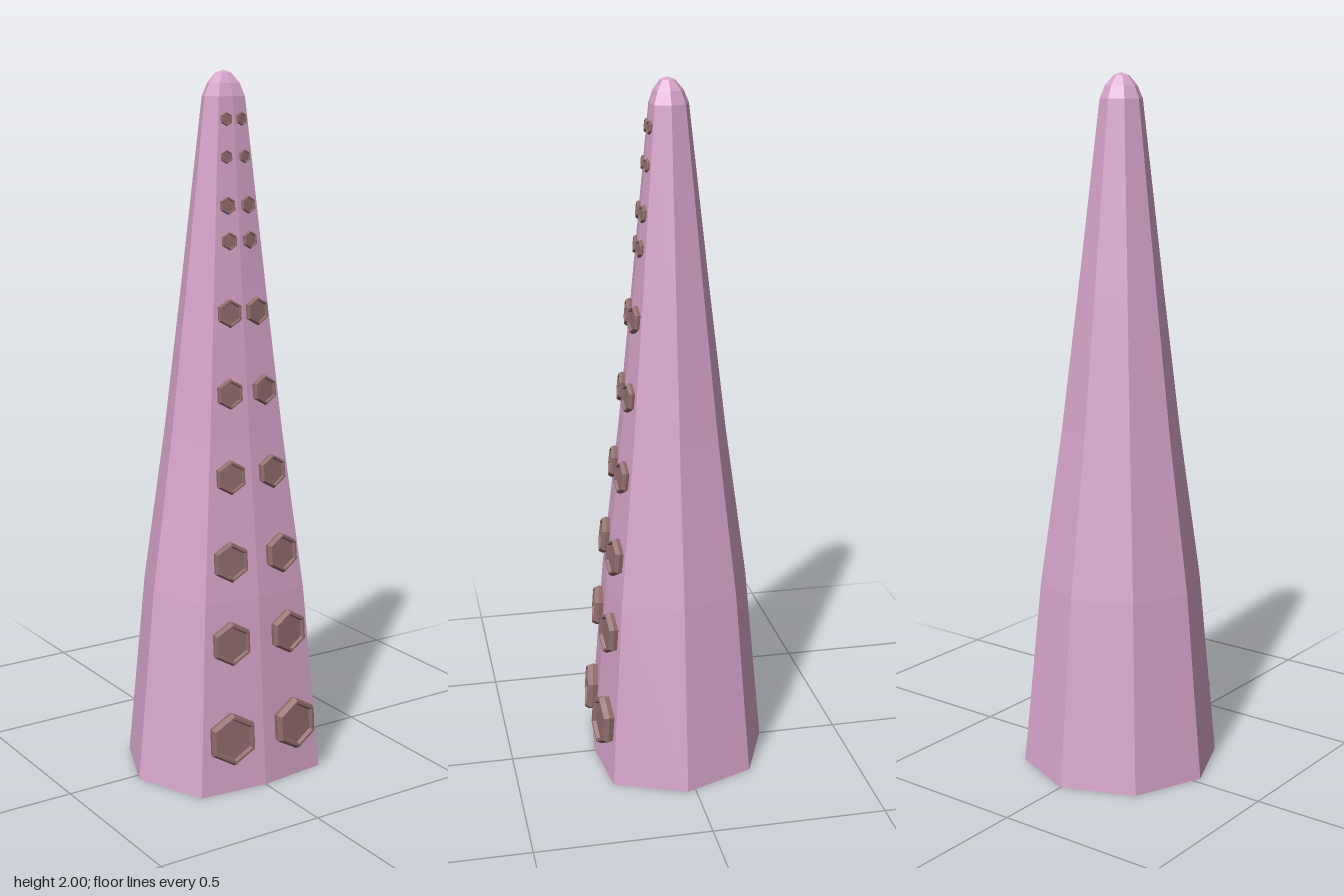
import * as THREE from 'three';

const CENTRE_Z = 0.024;
const FRONT = 0.785; // flattening of the front ridge
const SIDE = Math.SQRT1_2;

// [radius, height] up the tentacle
const PROFILE = [
  [0, 0], [0.288, 0], [0.235, 0.55], [0.171, 1.0], [0.122, 1.4],
  [0.06, 1.93], [0.045, 1.965], [0.022, 1.992], [0, 2],
];

// [x, y, radius] of each pair of suckers
const SUCKERS = [
  [0.105, 0.16, 0.077], [0.095, 0.435, 0.064], [0.084, 0.665, 0.058],
  [0.068, 0.9, 0.049], [0.056, 1.13, 0.043], [0.044, 1.35, 0.04],
  [0.033, 1.545, 0.025], [0.033, 1.64, 0.025], [0.029, 1.77, 0.019], [0.024, 1.87, 0.019],
];

const lathe = (points, sides) =>
  new THREE.LatheGeometry(points.map(([r, y]) => new THREE.Vector2(r, y)), sides);

function radiusAt(y) {
  let i = 1;
  while (y > PROFILE[i + 1][1]) i++;
  const [r0, y0] = PROFILE[i];
  const [r1, y1] = PROFILE[i + 1];
  const slope = (r1 - r0) / (y1 - y0);
  return { r: r0 + slope * (y - y0), slope };
}

export function createModel() {
  const group = new THREE.Group();
  const skin = new THREE.MeshStandardMaterial({ color: 0xd9a6cc, flatShading: true });
  const cup = new THREE.MeshStandardMaterial({ color: 0x8f6b6b, flatShading: true });

  // Tapering eight-sided body with its front ridge pressed in
  const bodyGeo = lathe(PROFILE, 8);
  const pos = bodyGeo.attributes.position;
  for (let i = 0; i < pos.count; i++) {
    if (pos.getZ(i) > 0 && Math.abs(pos.getX(i)) < 1e-4) pos.setZ(i, pos.getZ(i) * FRONT);
  }
  bodyGeo.translate(0, 0, CENTRE_Z);
  bodyGeo.computeVertexNormals();
  const body = new THREE.Mesh(bodyGeo, skin);
  body.name = 'tentacleBody';
  group.add(body);

  // Six-sided sucker with a raised rim and sunken middle, facing +z
  const suckerGeo = lathe(
    [[0, -0.2], [0.9, -0.2], [1, 0.2], [0.9, 0.4], [0.8, 0.4], [0.74, 0.26], [0, 0.26]], 6);
  suckerGeo.rotateX(Math.PI / 2);

  // Two mirrored rows lying on the front faces
  const lean = (FRONT - SIDE) / SIDE;
  for (const side of [-1, 1]) {
    const row = new THREE.Group();
    row.name = side > 0 ? 'leftSuckers' : 'rightSuckers';
    for (const [x, y, size] of SUCKERS) {
      const { r, slope } = radiusAt(y);
      const sucker = new THREE.Mesh(suckerGeo, cup);
      sucker.name = 'sucker';
      sucker.position.set(side * x, y, CENTRE_Z + FRONT * r - lean * x);
      const normal = new THREE.Vector3(side * lean, -FRONT * slope, 1);
      sucker.lookAt(normal.add(sucker.position));
      sucker.scale.setScalar(size);
      row.add(sucker);
    }
    group.add(row);
  }
  return group;
}
